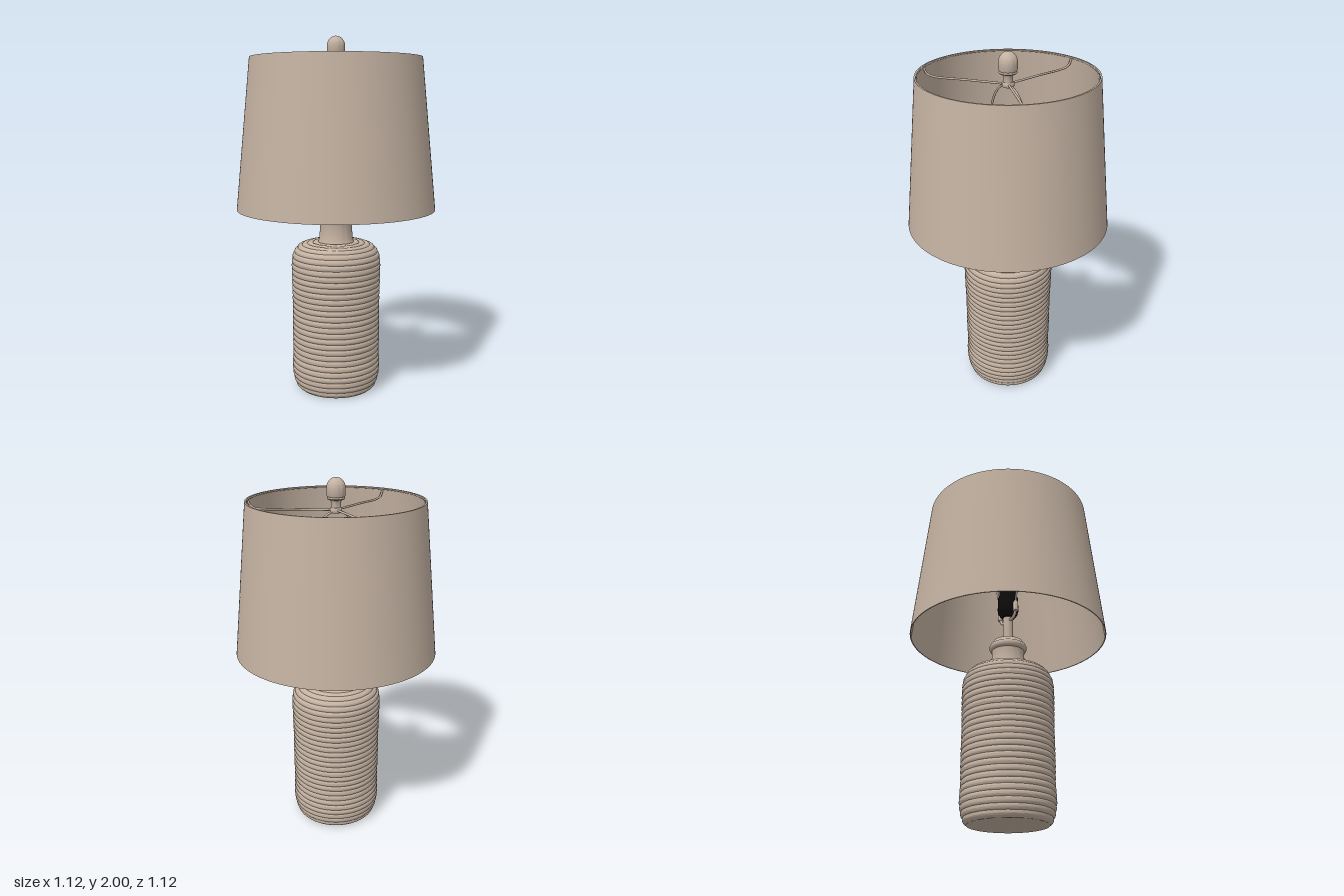
import * as THREE from 'three';
import { toCreasedNormals } from 'three/addons/utils/BufferGeometryUtils.js';

const mat = (name, color) => new THREE.MeshStandardMaterial({ name, color });
const V = (x, y, z = 0) => new THREE.Vector3(x, y, z);

export function createModel() {
  const lamp = new THREE.Group();
  lamp.name = 'tableLamp';
  const clay = mat('warm beige', 0xc4b2a2);
  const black = mat('socket black', 0x0c0c0c);

  const add = (name, geometry, material = clay, parent = lamp) => {
    const mesh = new THREE.Mesh(geometry, material);
    mesh.name = name;
    parent.add(mesh);
    return mesh;
  };
  // Profiles are [radius, height], running up the outside
  const lathe = (profile, segments = 64) => toCreasedNormals(
    new THREE.LatheGeometry(profile.map(([r, y]) => new THREE.Vector2(r, y)), segments), 0.7);
  const rod = (points, radius, segments = 32) => new THREE.TubeGeometry(
    new THREE.CatmullRomCurve3(points, false, 'centripetal'), segments, radius, 8);

  // Ribbed jar: a smooth outline with rounded coils pushed out along its normal
  const outline = new THREE.SplineCurve([
    [0.222, 0.005], [0.24, 0.05], [0.25, 0.12], [0.246, 0.22], [0.248, 0.35], [0.247, 0.5],
    [0.25, 0.65], [0.25, 0.74], [0.24, 0.795], [0.21, 0.835], [0.16, 0.852], [0.1, 0.858],
  ].map(([r, y]) => new THREE.Vector2(r, y)));
  const steps = 240, coils = 30;
  const jar = [[0, 0], [0.215, 0]];
  for (let i = 0; i <= steps; i++) {
    const u = i / steps;
    const p = outline.getPointAt(u), t = outline.getTangentAt(u);
    const bulge = 0.007 * Math.sqrt(Math.abs(Math.sin(u * coils * Math.PI)) + 0.02) - 0.003;
    jar.push([p.x + t.y * bulge, p.y - t.x * bulge]);
  }
  add('ribbedJar', lathe(jar, 96));

  // Neck with a rolled collar and cap
  add('neck', lathe([
    [0.104, 0.85], [0.1, 0.862], [0.095, 0.88], [0.09, 0.96], [0.092, 0.968], [0.101, 0.974],
    [0.106, 0.985], [0.106, 0.995], [0.101, 1.006], [0.091, 1.012], [0.088, 1.02],
    [0.084, 1.03], [0.076, 1.035], [0, 1.035],
  ]));
  add('stem', lathe([
    [0.042, 1.03], [0.042, 1.048], [0.036, 1.054], [0.028, 1.056], [0.028, 1.19], [0, 1.19],
  ], 32));
  add('socket', lathe([
    [0, 1.18], [0.035, 1.185], [0.055, 1.21], [0.06, 1.23], [0.06, 1.31],
    [0.052, 1.33], [0.048, 1.4], [0, 1.4],
  ], 32), black);

  // Harp: saddle, side ferrules and the bent wire
  const harp = new THREE.Group();
  harp.name = 'harp';
  lamp.add(harp);
  add('harpSaddle', rod([V(-0.08, 1.21), V(-0.06, 1.175), V(0, 1.165), V(0.06, 1.175), V(0.08, 1.21)], 0.009), clay, harp);
  for (const s of [-1, 1]) {
    add('harpFerrule', lathe([
      [0, 1.195], [0.014, 1.2], [0.017, 1.21], [0.014, 1.222], [0.014, 1.255], [0.009, 1.265], [0, 1.265],
    ], 20), clay, harp).position.x = s * 0.08;
  }
  const half = [[0.08, 1.22], [0.084, 1.29], [0.115, 1.4], [0.138, 1.52], [0.138, 1.64], [0.11, 1.74], [0.06, 1.805]];
  add('harpWire', rod([
    ...half.map(([x, y]) => V(-x, y)), V(0, 1.825), ...half.reverse().map(([x, y]) => V(x, y)),
  ], 0.006, 80), clay, harp);

  // Drum shade, an open shell with a small thickness
  add('shade', lathe([
    [0.552, 1.05], [0.558, 1.05], [0.474, 1.885], [0.465, 1.885], [0.552, 1.05],
  ], 128));

  // Three-armed spider holding the shade
  const spider = new THREE.Group();
  spider.name = 'spider';
  lamp.add(spider);
  add('spiderHub', lathe([
    [0, 1.818], [0.028, 1.818], [0.032, 1.823], [0.032, 1.84], [0.028, 1.845], [0, 1.845],
  ], 32), clay, spider);
  for (let i = 0; i < 3; i++) {
    add('spiderArm', rod([V(0, 1.832, -0.02), V(0, 1.832, -0.22), V(0, 1.833, -0.42),
      V(0, 1.845, -0.45), V(0, 1.875, -0.466)], 0.006), clay, spider).rotation.y = i * Math.PI * 2 / 3;
  }
  add('topRing', new THREE.TorusGeometry(0.467, 0.005, 8, 96).rotateX(Math.PI / 2).translate(0, 1.879, 0), clay, spider);

  // Domed finial
  const finial = [[0, 1.84], [0.026, 1.842], [0.026, 1.872], [0.032, 1.884], [0.043, 1.887],
    [0.048, 1.893], [0.045, 1.901], [0.049, 1.906]];
  for (let i = 0; i <= 12; i++) {
    const a = i / 12 * Math.PI / 2;
    finial.push([0.05 * Math.cos(a), 1.945 + 0.055 * Math.sin(a)]);
  }
  add('finial', lathe(finial, 40));

  return lamp;
}
